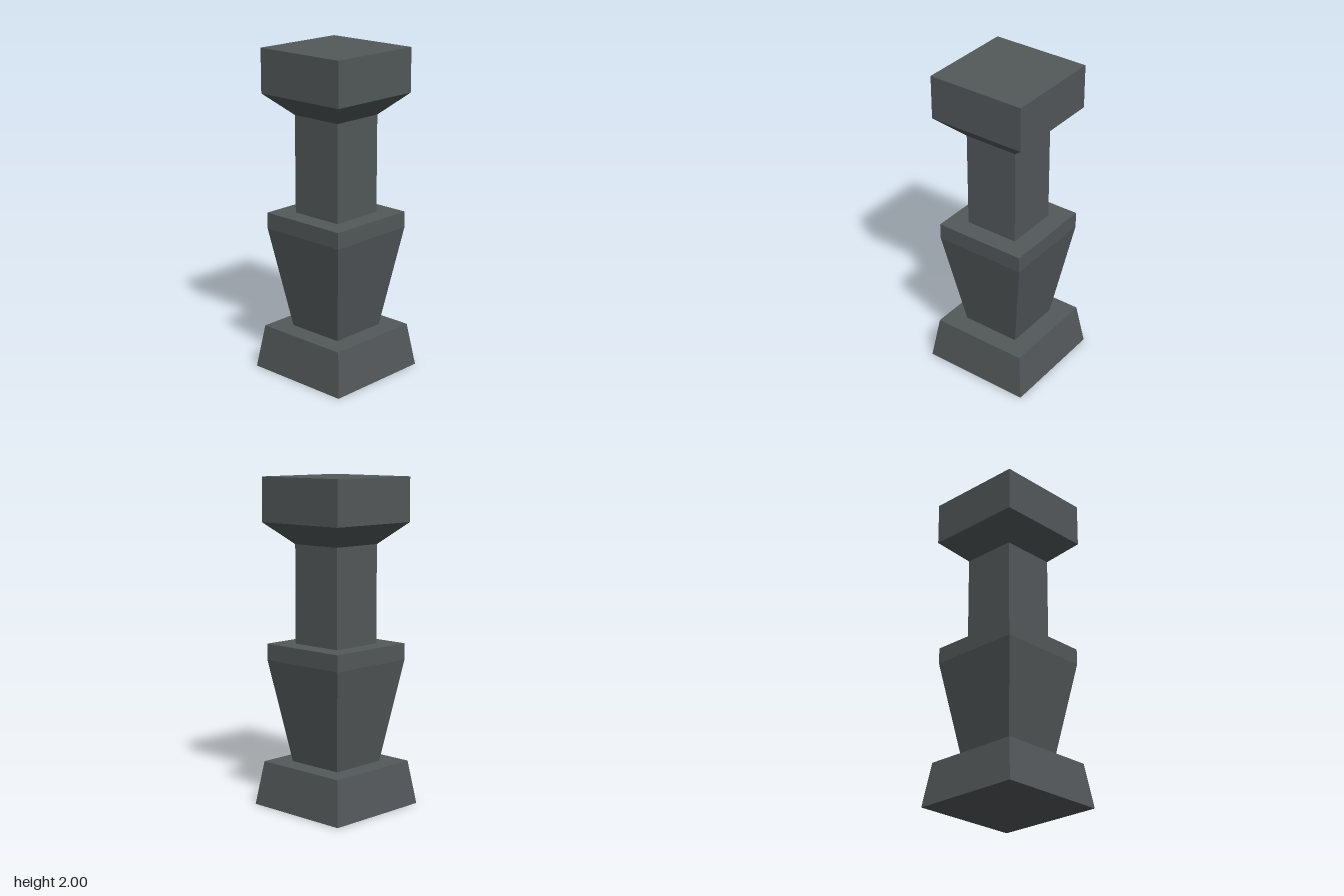
import * as THREE from 'three';

const stone = new THREE.MeshStandardMaterial({ color: 0x53585a });
stone.name = 'darkStone';

// Square-section solid from a profile of [half width, height] points, bottom to top
function squareTurned(name, profile) {
  const points = profile.map(([half, y]) => new THREE.Vector2(half * Math.SQRT2, y));
  const geometry = new THREE.LatheGeometry(points, 4, Math.PI / 4).toNonIndexed();
  geometry.computeVertexNormals(); // flat faces
  const mesh = new THREE.Mesh(geometry, stone);
  mesh.name = name;
  return mesh;
}

export function createModel() {
  const pillar = new THREE.Group();
  pillar.name = 'pillar';
  pillar.add(
    // Sloped foot with a flat ledge
    squareTurned('plinth', [[0, 0], [0.35, 0], [0.31, 0.27], [0.187, 0.27]]),
    // Flaring lower body with a straight band and ledge on top
    squareTurned('taperedBody', [[0.187, 0.27], [0.293, 0.9], [0.293, 1], [0.172, 1]]),
    // Slim straight post
    squareTurned('shaft', [[0.172, 1], [0.172, 1.6]]),
    // Flared underside and square block
    squareTurned('capital', [[0.172, 1.6], [0.31, 1.73], [0.31, 2], [0, 2]]),
  );
  return pillar;
}
